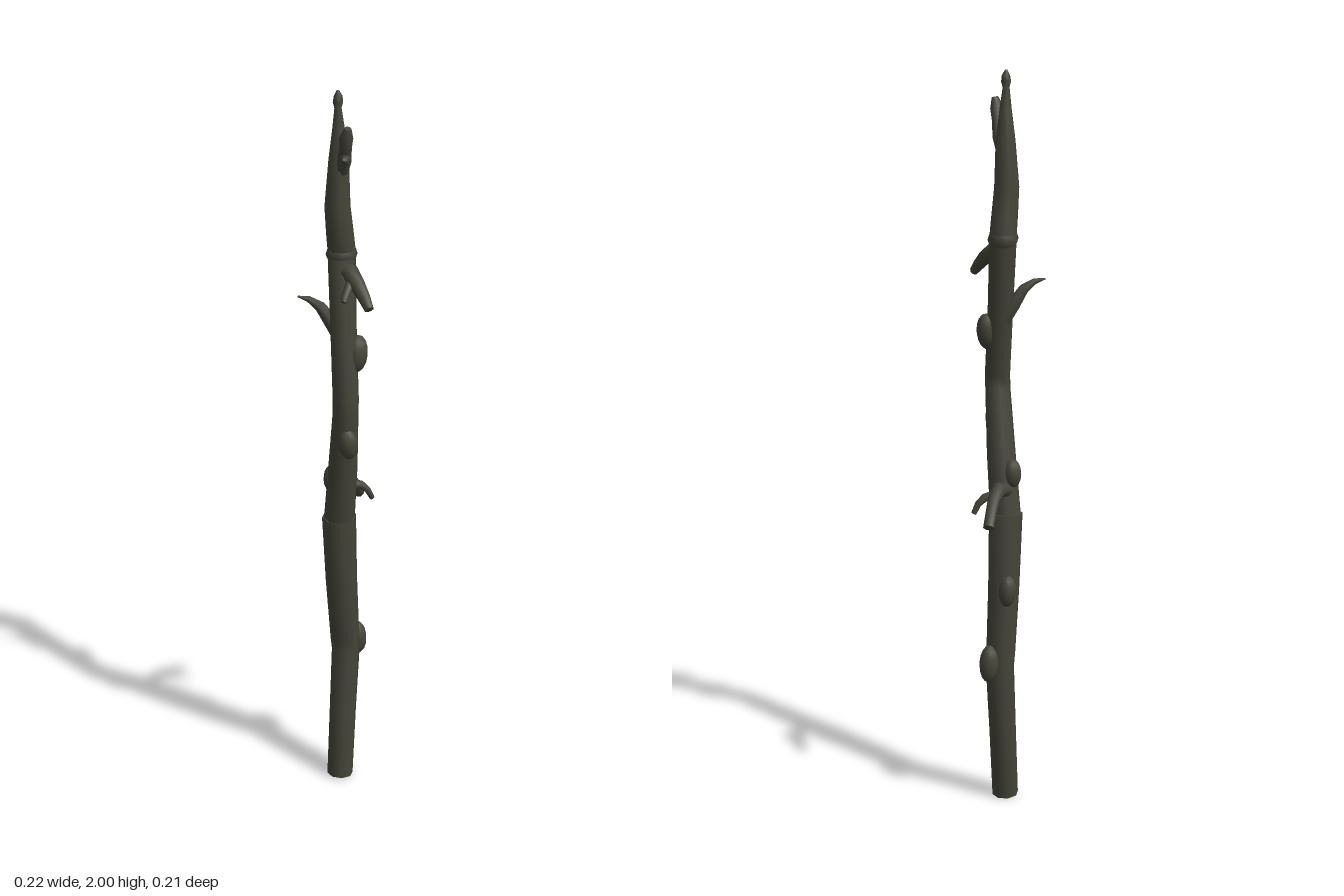
import * as THREE from 'three';

const bark = new THREE.MeshStandardMaterial({ color: 0x45453a });
bark.name = 'dark bark';

// Tapered limb: rings of given radius swept along [x, y, z, radius] stations, with closed ends
function limb(name, stations, sides = 8) {
  const centres = stations.map(s => new THREE.Vector3(s[0], s[1], s[2]));
  const pos = [], idx = [];
  const side = new THREE.Vector3(1, 0, 0);
  const ringAt = (i) => {
    const dir = centres[Math.min(i + 1, centres.length - 1)].clone()
      .sub(centres[Math.max(i - 1, 0)]).normalize();
    if (i === 0 && Math.abs(dir.x) > 0.8) side.set(0, 0, 1);
    side.addScaledVector(dir, -side.dot(dir)).normalize();
    const up = new THREE.Vector3().crossVectors(dir, side);
    for (let k = 0; k < sides; k++) {
      const a = k / sides * Math.PI * 2;
      const p = centres[i].clone()
        .addScaledVector(side, Math.cos(a) * stations[i][3])
        .addScaledVector(up, Math.sin(a) * stations[i][3]);
      pos.push(p.x, p.y, p.z);
    }
  };
  centres.forEach((c, i) => ringAt(i));
  for (let i = 0; i < centres.length - 1; i++) {
    for (let k = 0; k < sides; k++) {
      const a = i * sides + k, b = i * sides + (k + 1) % sides;
      idx.push(a, b, a + sides, b, b + sides, a + sides);
    }
  }
  // End caps have their own vertices so their rims stay sharp
  [0, centres.length - 1].forEach((i, end) => {
    const start = pos.length / 3;
    for (let k = 0; k < sides; k++) {
      const o = (i * sides + k) * 3;
      pos.push(pos[o], pos[o + 1], pos[o + 2]);
    }
    pos.push(...centres[i].toArray());
    for (let k = 0; k < sides; k++) {
      const a = start + k, b = start + (k + 1) % sides;
      idx.push(start + sides, end ? a : b, end ? b : a);
    }
  });
  const g = new THREE.BufferGeometry();
  g.setAttribute('position', new THREE.Float32BufferAttribute(pos, 3));
  g.setIndex(idx);
  g.computeVertexNormals();
  const mesh = new THREE.Mesh(g, bark);
  mesh.name = name;
  return mesh;
}

// Oval knot swelling out of the bark
function knot(name, x, y, z, w, h, tilt = 0) {
  const mesh = new THREE.Mesh(new THREE.SphereGeometry(1, 10, 8), bark);
  mesh.scale.set(w, h, w);
  mesh.position.set(x, y, z);
  mesh.rotation.z = tilt;
  mesh.name = name;
  return mesh;
}

export function createModel() {
  const stick = new THREE.Group();
  stick.name = 'crookedStick';

  // Trunk in three lengths, each stepping in slightly at the joint
  stick.add(
    limb('lowerTrunk', [
      [-0.04, 0, -0.03, 0.036], [-0.022, 0.2, -0.033, 0.037], [-0.002, 0.39, -0.037, 0.039],
      [-0.006, 0.43, -0.037, 0.04], [-0.025, 0.62, -0.034, 0.043], [-0.04, 0.82, -0.03, 0.046]]),
    limb('middleTrunk', [
      [-0.04, 0.8, -0.03, 0.042], [-0.058, 0.98, -0.003, 0.039], [-0.079, 1.15, 0.022, 0.034],
      [-0.079, 1.19, 0.023, 0.034], [-0.055, 1.38, -0.002, 0.034], [-0.03, 1.565, -0.026, 0.036]]),
    limb('jointCollar', [
      [-0.031, 1.555, -0.026, 0.037], [-0.029, 1.567, -0.027, 0.041], [-0.029, 1.58, -0.027, 0.037]]),
    limb('upperTrunk', [
      [-0.028, 1.57, -0.027, 0.036], [-0.038, 1.63, -0.026, 0.035], [-0.047, 1.7, -0.026, 0.033],
      [-0.044, 1.82, -0.024, 0.026], [-0.044, 1.9, -0.024, 0.016], [-0.046, 1.955, -0.024, 0.009],
      [-0.046, 1.97, -0.024, 0.013], [-0.045, 1.985, -0.024, 0.011], [-0.046, 2, -0.024, 0.003]]),
  );

  // Low branch drooping to the left, with a curved side twig
  stick.add(
    limb('lowBranch', [
      [-0.035, 0.885, -0.035, 0.02], [0.005, 0.897, -0.037, 0.021], [0.045, 0.882, -0.048, 0.017],
      [0.075, 0.85, -0.058, 0.015], [0.1, 0.823, -0.068, 0.015]]),
    limb('lowBranchTwig', [
      [0.02, 0.89, -0.04, 0.013], [0.045, 0.882, -0.018, 0.011],
      [0.056, 0.865, -0.005, 0.009], [0.066, 0.84, 0.002, 0.007]]),
  );

  // Middle branch reaching forward, with its twig
  stick.add(
    limb('middleBranch', [
      [-0.035, 1.53, -0.025, 0.02], [-0.045, 1.53, 0.012, 0.023], [-0.058, 1.508, 0.045, 0.02],
      [-0.068, 1.48, 0.075, 0.016], [-0.078, 1.459, 0.097, 0.012]]),
    limb('middleBranchTwig', [
      [-0.052, 1.515, 0.025, 0.014], [-0.078, 1.5, 0.03, 0.011],
      [-0.092, 1.487, 0.033, 0.01], [-0.105, 1.473, 0.036, 0.008]]),
  );

  // Thorn curving up behind
  stick.add(limb('backThorn', [
    [-0.05, 1.35, -0.015, 0.022], [-0.06, 1.39, -0.04, 0.019], [-0.078, 1.43, -0.06, 0.014],
    [-0.095, 1.45, -0.083, 0.008], [-0.111, 1.457, -0.106, 0.002]]));

  // Top fork
  stick.add(
    limb('topBranch', [
      [-0.045, 1.79, -0.015, 0.017], [-0.055, 1.825, 0.002, 0.018], [-0.068, 1.865, 0.015, 0.016],
      [-0.077, 1.895, 0.024, 0.018], [-0.081, 1.922, 0.033, 0.009]]),
    limb('topBranchTwig', [
      [-0.06, 1.835, 0.008, 0.015], [-0.082, 1.84, 0.025, 0.012],
      [-0.098, 1.842, 0.036, 0.01], [-0.107, 1.852, 0.043, 0.006]]),
  );

  // Knots up the stem
  stick.add(
    knot('lowKnot', 0.036, 0.41, -0.027, 0.027, 0.052, 0.1),
    knot('backKnot', 0.0, 0.615, -0.062, 0.024, 0.044, 0.1),
    knot('branchKnot', -0.048, 0.93, -0.045, 0.025, 0.04, 0),
    knot('middleKnot', -0.086, 1.07, 0.035, 0.027, 0.045, 0.15),
    knot('highKnot', -0.043, 1.31, 0.032, 0.029, 0.05, -0.15),
  );
  return stick;
}
